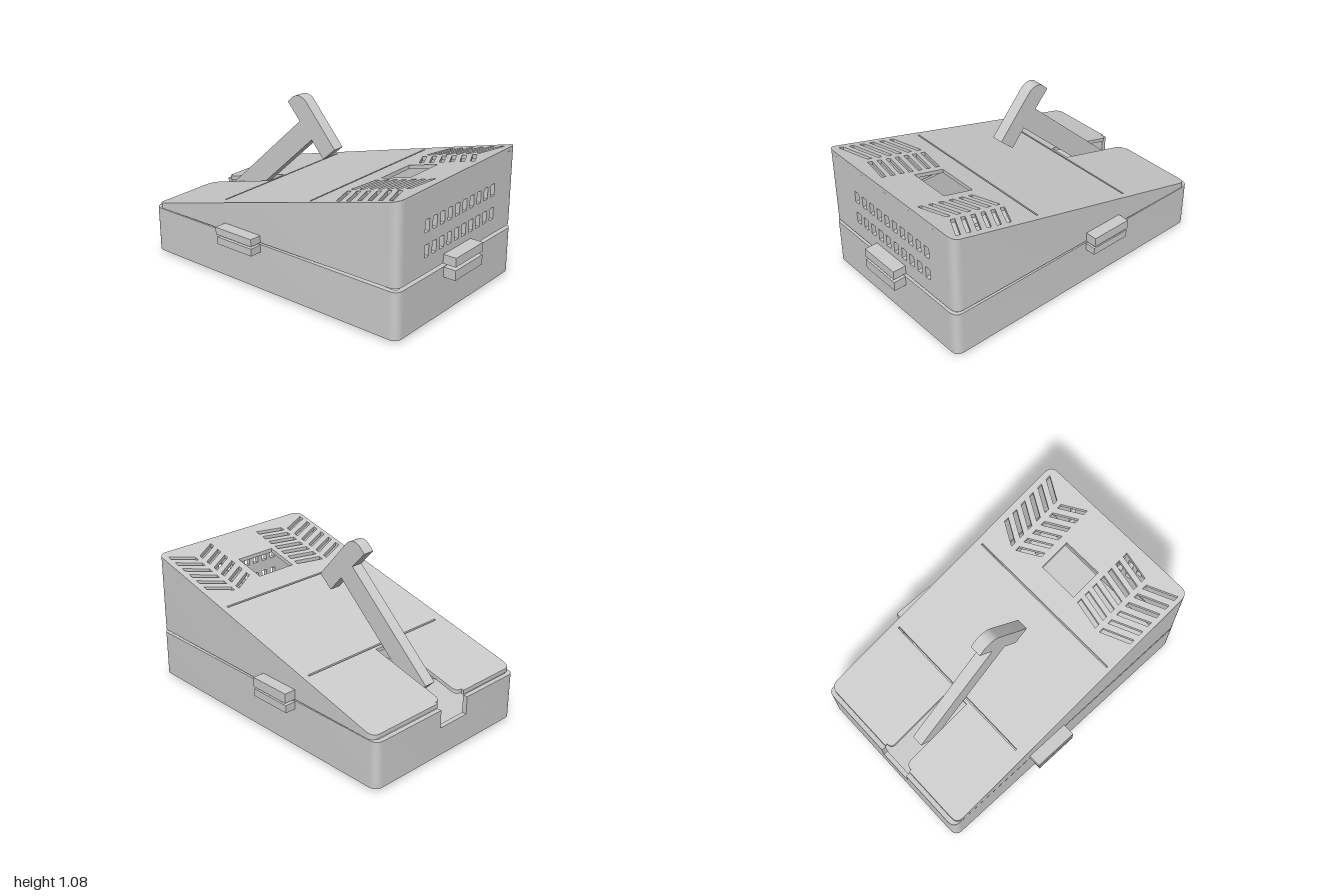
import * as THREE from 'three';
import { toCreasedNormals } from 'three/addons/utils/BufferGeometryUtils.js';

const W = 0.59, R = 0.055, T = 0.03;      // half width, corner radius, wall thickness
const NOTCH = [-0.155, 0.07];             // rear opening for the lever
const BASE = { front: 0.92, back: -1 };
const LID = { front: 0.915, back: -0.97 };
const SKIN = 0.025;
const lidTop = z => 0.345 + (z - LID.back) * 0.2653;
const lidBottom = z => 0.318 + (z - LID.back) * 0.009;

const material = new THREE.MeshStandardMaterial({ color: 0xcccccc });

function add(parent, name, geometry) {
  const mesh = new THREE.Mesh(geometry, material);
  mesh.name = name;
  parent.add(mesh);
  return mesh;
}

function box(parent, name, x0, x1, y0, y1, z0, z1) {
  const g = new THREE.BoxGeometry(x1 - x0, y1 - y0, z1 - z0);
  g.translate((x0 + x1) / 2, (y0 + y1) / 2, (z0 + z1) / 2);
  return add(parent, name, g);
}

// Plan shape (x, -z) filled between two heights that may vary along z
function slab(shape, low, high) {
  const g = new THREE.ExtrudeGeometry(shape, { depth: 1, bevelEnabled: false, curveSegments: 8 });
  g.rotateX(-Math.PI / 2);
  const p = g.attributes.position;
  for (let i = 0; i < p.count; i++) {
    const z = p.getZ(i), lo = low(z);
    p.setY(i, lo + (high(z) - lo) * p.getY(i));
  }
  return toCreasedNormals(g, 0.6);
}

const polygon = pts => new THREE.Path(pts.map(([x, y]) => new THREE.Vector2(x, y)));
const rect = (x0, x1, y0, y1) => polygon([[x0, y0], [x1, y0], [x1, y1], [x0, y1]]);
const circle = (x, y, r) => new THREE.Path().absarc(x, y, r, 0, Math.PI * 2, true);

// One side wall with its two rounded corners, running to the rear notch
function sideWall(s, { front, back }, notchX) {
  const f = -front, b = -back, o = s * W, c = s * (W - R), i = s * (W - T);
  const p = new THREE.Shape();
  p.moveTo(c, f);
  p.quadraticCurveTo(o, f, o, f + R);
  p.lineTo(o, b - R);
  p.quadraticCurveTo(o, b, c, b);
  p.lineTo(notchX, b);
  p.lineTo(notchX, b - T);
  p.lineTo(c, b - T);
  p.quadraticCurveTo(i, b - T, i, b - R);
  p.lineTo(i, f + R);
  p.quadraticCurveTo(i, f + T, c, f + T);
  p.closePath();
  return p;
}

// Rounded rectangle; with a slot, the rear edge opens around the lever
function plate({ front, back }, slot) {
  const f = -front, b = -back, c = W - R;
  const p = new THREE.Shape();
  p.moveTo(-c, f);
  p.lineTo(c, f);
  p.quadraticCurveTo(W, f, W, f + R);
  p.lineTo(W, b - R);
  p.quadraticCurveTo(W, b, c, b);
  if (slot) {
    p.lineTo(NOTCH[1], b);
    p.lineTo(NOTCH[1], b - 0.015);
    p.quadraticCurveTo(0.03, b - 0.015, 0.03, b - 0.055);
    p.lineTo(0.03, 0.45);
    p.lineTo(-0.11, 0.45);
    p.lineTo(-0.11, b - 0.055);
    p.quadraticCurveTo(-0.11, b - 0.015, NOTCH[0], b - 0.015);
    p.lineTo(NOTCH[0], b);
  }
  p.lineTo(-c, b);
  p.quadraticCurveTo(-W, b, -W, b - R);
  p.lineTo(-W, f + R);
  p.quadraticCurveTo(-W, f, -c, f);
  return p;
}

function makeBase() {
  const base = new THREE.Group();
  base.name = 'base';

  // Floor with two clusters of sound holes and four screw holes
  const floor = plate(BASE, false);
  for (const [x, z] of [[-0.355, 0.15], [0.345, 0.13]]) {
    floor.holes.push(circle(x, -z, 0.018));
    for (let k = 0; k < 6; k++) {
      const a = Math.PI / 2 + k * Math.PI / 3;
      floor.holes.push(circle(x + 0.13 * Math.cos(a), -z + 0.13 * Math.sin(a), 0.018));
    }
  }
  for (const s of [-1, 1]) {
    floor.holes.push(circle(s * 0.5, 0.82, 0.015), circle(s * 0.47, -0.71, 0.015));
  }
  add(base, 'baseFloor', slab(floor, () => 0.02, () => 0.05));

  // Walls, lower behind the lever
  [-1, 1].forEach((s, i) => {
    add(base, 'baseSideWall', slab(sideWall(s, BASE, NOTCH[i]), () => 0.05, () => 0.315));
  });
  box(base, 'baseFrontWall', R - W, W - R, 0.05, 0.315, BASE.front - T, BASE.front);
  box(base, 'baseNotchSill', ...NOTCH, 0.05, 0.2, BASE.back, BASE.back + T);

  // Foot pads
  for (const [x0, x1] of [[-0.56, -0.41], [0.39, 0.545]]) {
    for (const [z0, z1] of [[0.29, 0.66], [-0.745, -0.375]]) {
      box(base, 'footPad', x0, x1, 0, 0.021, z0, z1);
    }
  }

  // Closing tabs
  box(base, 'baseFrontTab', -0.15, 0.13, 0.25, 0.312, 0.9, 1);
  box(base, 'baseRightTab', -0.67, -0.57, 0.265, 0.312, -0.36, -0.08);
  box(base, 'baseLeftTab', 0.57, 0.66, 0.262, 0.31, -0.355, -0.08);
  return base;
}

function makeLid() {
  const lid = new THREE.Group();
  lid.name = 'lid';

  // Sloping top: window, two long slits and chevron vents
  const top = plate(LID, true);
  top.holes.push(rect(-0.11, 0.165, -0.645, -0.44));
  top.holes.push(rect(-0.525, 0.55, 0.42, 0.431), rect(-0.56, 0.55, -0.291, -0.28));
  const vents = [ // x0, x1, z at x0, z at x1, rows, pitch
    [-0.56, -0.375, 0.475, 0.4, 6, 0.071],
    [-0.34, -0.15, 0.4, 0.435, 7, 0.063],
    [0.215, 0.365, 0.48, 0.4, 6, 0.071],
    [0.4, 0.55, 0.4, 0.48, 6, 0.071],
  ];
  for (const [x0, x1, za, zb, rows, pitch] of vents) {
    for (let k = 0; k < rows; k++) {
      const a = -za - k * pitch, b = -zb - k * pitch, h = 0.031;
      top.holes.push(polygon([[x0, a], [x1, b], [x1, b - h], [x0, a - h]]));
    }
  }
  add(lid, 'lidTop', slab(top, z => lidTop(z) - SKIN, lidTop));

  // Wedge-shaped side walls
  [-1, 1].forEach((s, i) => {
    add(lid, 'lidSideWall', slab(sideWall(s, LID, NOTCH[i]), lidBottom, z => lidTop(z) - SKIN));
  });

  // Front panel with two rows of openings
  const panel = new THREE.Shape(rect(R - W, W - R, 0.335, 0.82).getPoints());
  for (let k = 0; k < 10; k++) {
    const x = -0.32 + k * 0.0741;
    for (const y of [0.435, 0.585]) panel.holes.push(rect(x - 0.02, x + 0.02, y, y + 0.075));
  }
  const g = new THREE.ExtrudeGeometry(panel, { depth: T, bevelEnabled: false });
  g.translate(0, 0, LID.front - T);
  add(lid, 'lidFrontPanel', g);

  // Closing tabs
  box(lid, 'lidFrontTab', -0.15, 0.13, 0.333, 0.39, 0.89, 1);
  box(lid, 'lidRightTab', -0.67, -0.57, 0.326, 0.372, -0.37, -0.08);
  box(lid, 'lidLeftTab', 0.57, 0.665, 0.326, 0.387, -0.355, -0.08);
  return lid;
}

// T-shaped lever, profile drawn in (-z, y)
function makeLever() {
  const p = new THREE.Shape();
  p.moveTo(-0.07, 0.8);
  p.lineTo(0.02, 0.72);
  p.lineTo(0.11, 0.825);
  p.lineTo(0.715, 0.263);
  p.lineTo(0.81, 0.363);
  p.lineTo(0.205, 0.925);
  p.lineTo(0.3, 1.03);
  p.lineTo(0.27, 1.06);
  p.bezierCurveTo(0.24, 1.092, 0.19, 1.092, 0.155, 1.06);
  p.closePath();
  const g = new THREE.ExtrudeGeometry(p, { depth: 0.075, bevelEnabled: false, curveSegments: 10 });
  g.rotateY(Math.PI / 2);
  g.translate(-0.085, 0, 0);
  return toCreasedNormals(g, 0.5);
}

export function createModel() {
  const model = new THREE.Group();
  model.name = 'wedgeEnclosure';
  model.add(makeBase(), makeLid());
  add(model, 'lever', makeLever());
  return model;
}
